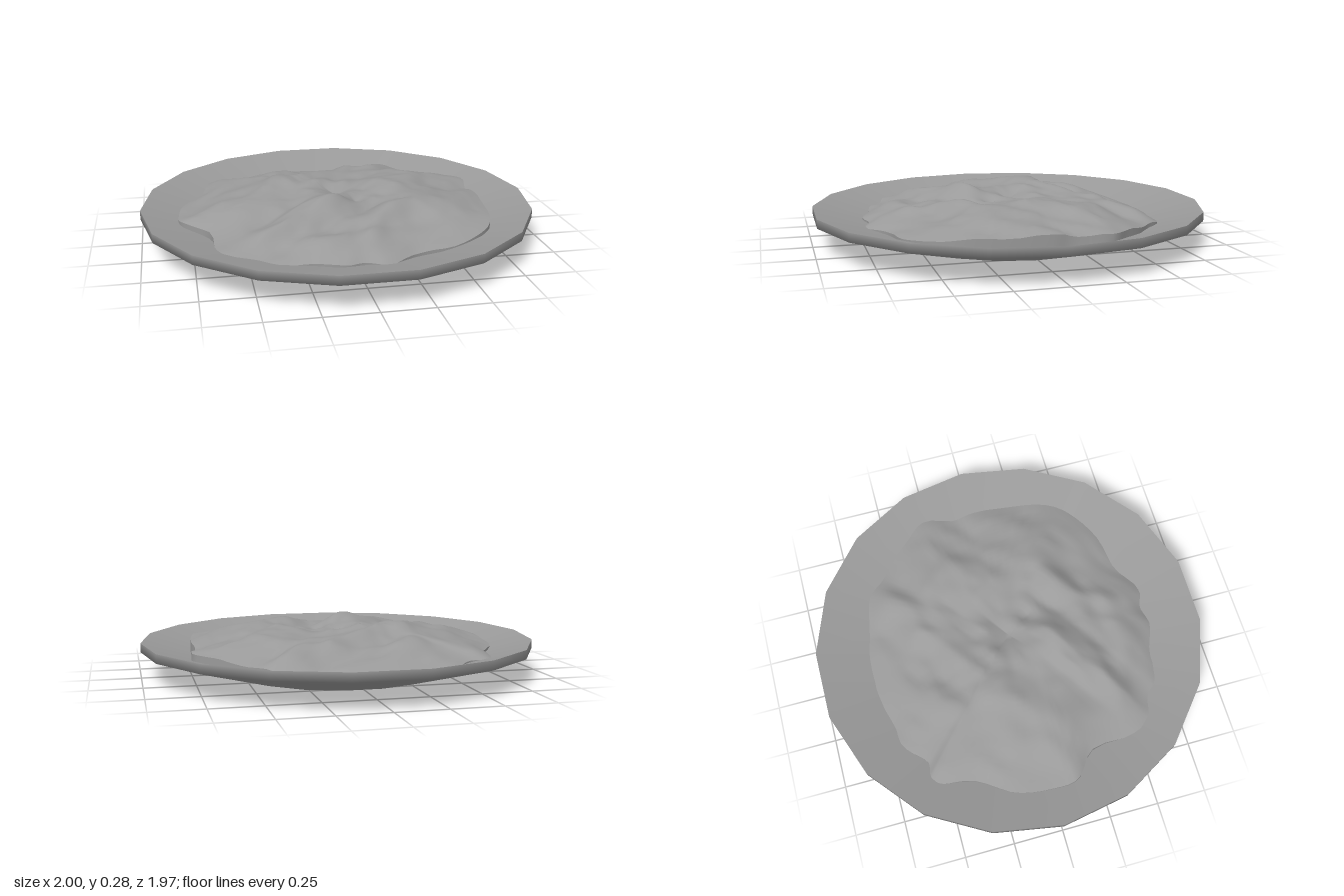
import * as THREE from 'three';

const material = new THREE.MeshStandardMaterial({ color: 0x9a9a9a, side: THREE.DoubleSide });

// Outline of the mound seen from above, [x, z], from +x round through +z
const OUTLINE = [
  [0.75, 0], [0.73, 0.26], [0.68, 0.44], [0.6, 0.53], [0.45, 0.62], [0.25, 0.66], [0.1, 0.75], [0, 0.72],
  [-0.1, 0.74], [-0.25, 0.69], [-0.4, 0.68], [-0.52, 0.62], [-0.6, 0.58], [-0.65, 0.5], [-0.67, 0.25],
  [-0.8, 0.13], [-0.81, 0], [-0.78, -0.18], [-0.67, -0.36], [-0.62, -0.57], [-0.52, -0.56], [-0.4, -0.67],
  [-0.25, -0.7], [0, -0.735], [0.2, -0.71], [0.28, -0.69], [0.43, -0.65], [0.5, -0.57], [0.6, -0.48],
  [0.69, -0.38], [0.77, -0.28], [0.74, -0.1],
];

// Height of the dish's inner surface at radius r
const dishHeight = (r) => 0.05 + Math.max(0, r - 0.55) * 0.278;

// Value noise in the range -1..1, left linear so the ridges stay crisp
function hash(i, j) {
  const s = Math.sin(i * 127.1 + j * 311.7) * 43758.5453;
  return (s - Math.floor(s)) * 2 - 1;
}
function noise(u, v) {
  const i = Math.floor(u), j = Math.floor(v), a = u - i, b = v - j;
  const mix = THREE.MathUtils.lerp;
  return mix(mix(hash(i, j), hash(i + 1, j), a), mix(hash(i, j + 1), hash(i + 1, j + 1), a), b);
}

// Mound height: a low dome with diagonal ridges and two peaks
function moundHeight(x, z, t) {
  const along = x * 0.8 - z * 0.6, across = x * 0.6 + z * 0.8;
  const ridges = 0.026 * noise(along * 4 + 7, across * 8 + 3)
    + 0.02 * noise(along * 8, across * 15) + 0.006 * noise(along * 16 + 5, across * 20);
  const peak = (px, pz, h) => h * Math.exp(-((x - px) ** 2 + (z - pz) ** 2) / 0.012);
  return 0.105 + 0.12 * (1 - t ** 3) + (x > 0 ? 0.1 : 0.05) * x * x * t
    + ridges * (1 - 0.6 * t ** 6) + peak(-0.05, 0.2, 0.03) + peak(-0.3, -0.2, 0.035);
}

function moundGeometry(rings = 30, sides = 112) {
  const curve = new THREE.CatmullRomCurve3(OUTLINE.map(([x, z]) => new THREE.Vector3(x, 0, z)), true);
  const edge = curve.getPoints(sides).slice(0, sides);
  const positions = [0, moundHeight(0, 0, 0), 0], index = [];
  // the edge ring is doubled to stay sharp, then dropped onto the dish
  for (let r = 1; r <= rings + 2; r++) {
    const t = Math.min(1, r / rings);
    for (const p of edge) {
      const x = p.x * t, z = p.z * t;
      const y = r === rings + 2 ? dishHeight(Math.hypot(x, z)) - 0.005 : moundHeight(x, z, t);
      positions.push(x, y, z);
    }
  }
  for (let s = 0; s < sides; s++) {
    const n = (s + 1) % sides;
    index.push(0, 1 + n, 1 + s);
    for (let r = 0; r <= rings; r++) {
      if (r === rings - 1) continue;
      const a = 1 + r * sides, b = a + sides;
      index.push(a + s, a + n, b + n, a + s, b + n, b + s);
    }
  }
  const geometry = new THREE.BufferGeometry();
  geometry.setAttribute('position', new THREE.Float32BufferAttribute(positions, 3));
  geometry.setIndex(index);
  geometry.computeVertexNormals();
  return geometry;
}

export function createModel() {
  const model = new THREE.Group();
  const add = (parent, name, geometry) => {
    const mesh = new THREE.Mesh(geometry, material);
    mesh.name = name;
    parent.add(mesh);
  };

  // Plate: 18-sided bands; the underside rolls smoothly into the rim, other edges stay sharp
  const plate = new THREE.Group();
  plate.name = 'plate';
  model.add(plate);
  const bands = {
    footRecess: [[0, 0.03], [0.4, 0.03]],
    footRing: [[0.4, 0.03], [0.54, 0]],
    undersideAndRim: [[0.54, 0], [1, 0.13], [1, 0.175]],
    dishSlope: [[1, 0.175], [0.55, 0.05]],
    dishFloor: [[0.55, 0.05], [0, 0.05]],
  };
  for (const [name, profile] of Object.entries(bands)) {
    const points = profile.map(([r, y]) => new THREE.Vector2(r, y));
    add(plate, name, new THREE.LatheGeometry(points, 18, Math.PI / 2));
  }

  // Food heaped on the plate
  add(model, 'mound', moundGeometry());
  return model;
}
